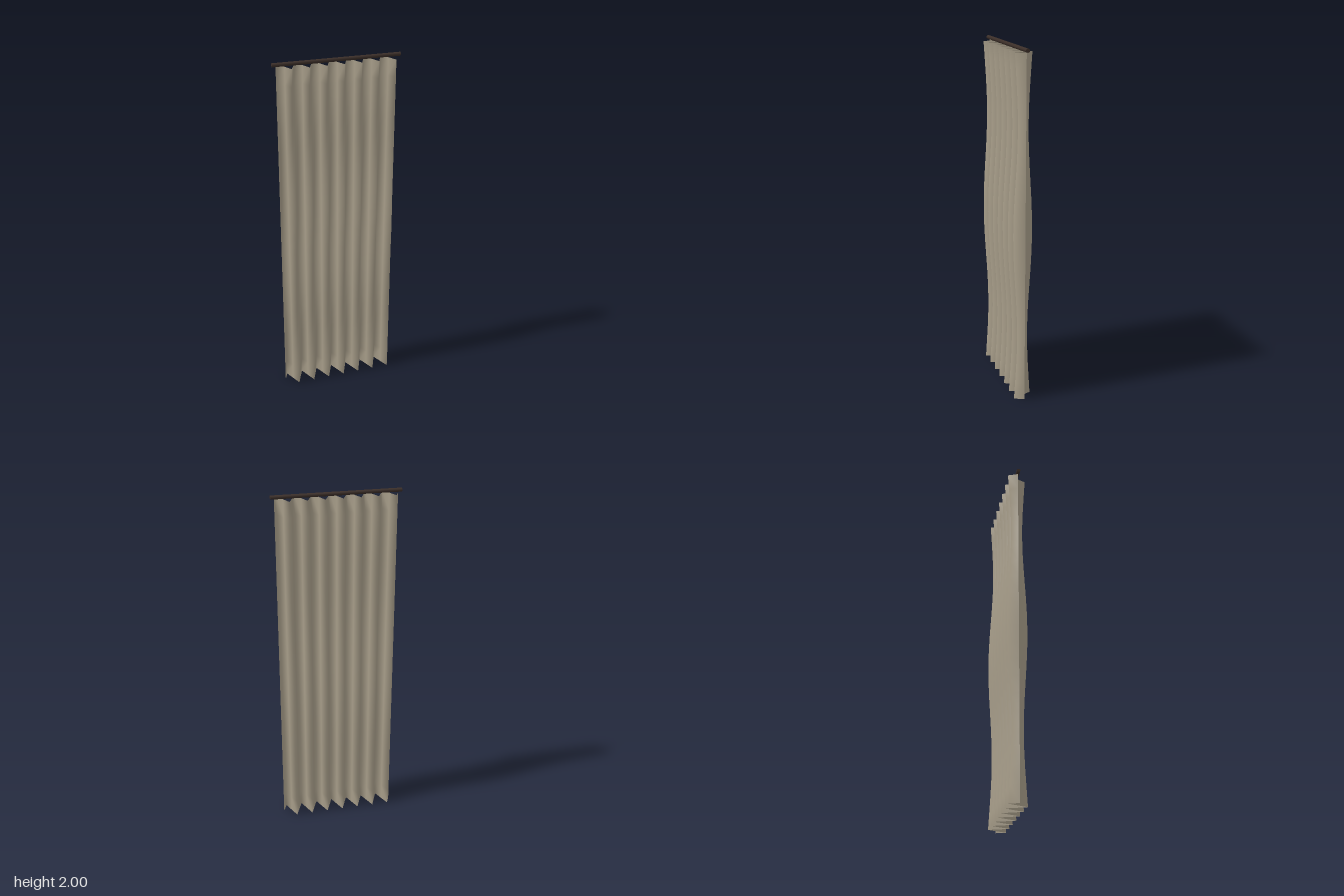
import * as THREE from 'three';

const WIDTH = 0.67;
const HEIGHT = 1.976;
const FOLDS = 7;

export function createModel() {
  const model = new THREE.Group();
  model.name = 'curtain';

  const linen = new THREE.MeshStandardMaterial({ color: 0xa89e8a, side: THREE.DoubleSide });
  linen.name = 'linen';
  const darkWood = new THREE.MeshStandardMaterial({ color: 0x3b2e28 });
  darkWood.name = 'dark wood';

  // Pleated cloth: four strips per fold, depth swelling and narrowing with height
  const cloth = new THREE.PlaneGeometry(WIDTH, HEIGHT, FOLDS * 4, 20);
  cloth.translate(0, HEIGHT / 2, 0);
  const p = cloth.attributes.position;
  for (let i = 0; i < p.count; i++) {
    const across = (p.getX(i) / WIDTH + 0.5) * FOLDS * Math.PI * 2;
    const depth = 0.05 + 0.0125 * Math.cos(((p.getY(i) - HEIGHT / 2) / 1.2) * Math.PI * 2);
    p.setZ(i, -depth * Math.sin(across));
  }
  cloth.computeVertexNormals();
  const drape = new THREE.Mesh(cloth, linen);
  drape.name = 'drape';
  model.add(drape);

  // Rod above the cloth
  const rod = new THREE.Mesh(new THREE.CylinderGeometry(0.011, 0.011, 0.71, 12), darkWood);
  rod.name = 'rod';
  rod.rotation.z = Math.PI / 2;
  rod.position.y = 1.989;
  model.add(rod);

  return model;
}
